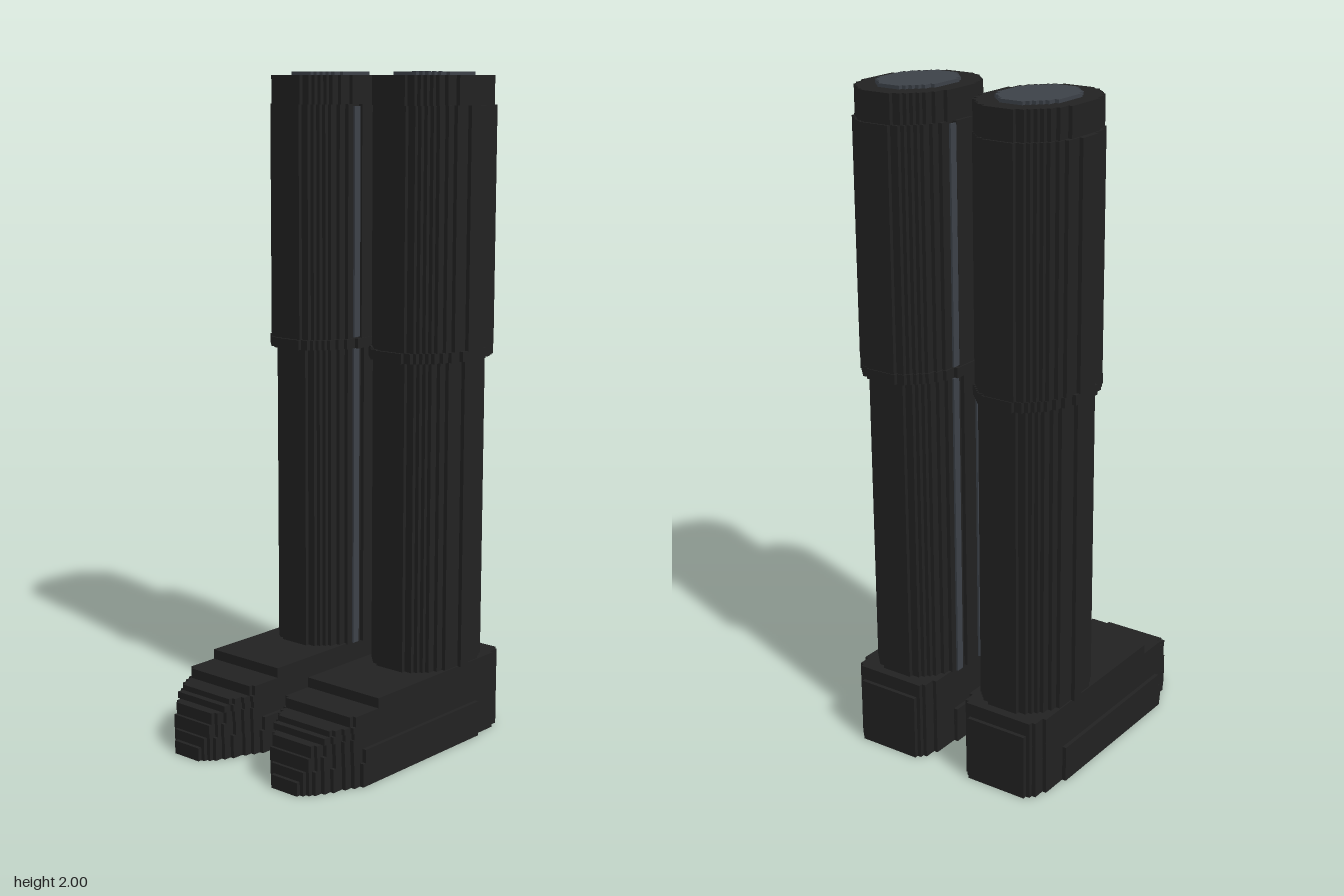
import * as THREE from 'three';

const STEP = 0.0123; // size of one block

// Linear interpolation through [z, halfWidth] pairs
function sample(profile, z) {
  for (let i = 1; i < profile.length; i++) {
    const [z0, w0] = profile[i - 1], [z1, w1] = profile[i];
    if (z <= z1) return w0 + (w1 - w0) * Math.max(0, (z - z0) / (z1 - z0));
  }
  return profile[profile.length - 1][1];
}

// Upright slab whose outline is stepped in blocks along z
function steppedSlab(halfWidth, z0, z1, y0, y1) {
  const rows = Math.round((z1 - z0) / STEP), dz = (z1 - z0) / rows;
  const right = [], left = [];
  let last = -1;
  for (let i = 0; i < rows; i++) {
    const w = Math.max(STEP, Math.round(halfWidth(z0 + (i + 0.5) * dz) / STEP) * STEP);
    if (w === last) { right.pop(); left.pop(); } else {
      right.push([w, z0 + i * dz]);
      left.push([-w, z0 + i * dz]);
    }
    right.push([w, z0 + (i + 1) * dz]);
    left.push([-w, z0 + (i + 1) * dz]);
    last = w;
  }
  const points = [...right, ...left.reverse()].map(([x, z]) => new THREE.Vector2(x, -z));
  const geometry = new THREE.ExtrudeGeometry(new THREE.Shape(points), { depth: y1 - y0, bevelEnabled: false });
  return geometry.rotateX(-Math.PI / 2).translate(0, y0, 0);
}

// Stepped oval column
function oval(rx, z0, z1, y0, y1) {
  const c = (z0 + z1) / 2, rz = (z1 - z0) / 2 + STEP * 0.3;
  return steppedSlab(z => rx * Math.sqrt(Math.max(0, 1 - ((z - c) / rz) ** 2)), z0, z1, y0, y1);
}

export function createModel() {
  const black = new THREE.MeshStandardMaterial({ color: 0x222222 });
  black.name = 'black leather';
  const grey = new THREE.MeshStandardMaterial({ color: 0x3d4249 });
  grey.name = 'slate lining';

  // Footprint half width from heel to toe
  const footprint = [[-0.43, 0.09], [-0.40, 0.12], [-0.36, 0.13], [-0.28, 0.142], [-0.15, 0.148],
    [0.24, 0.148], [0.30, 0.122], [0.36, 0.097], [0.40, 0.075], [0.43, 0.047]];
  // Foot layers: bottom, top, widest half width, heel z, toe z
  const layers = [
    [0, 0.04, 0.148, -0.43, 0.432], [0.04, 0.07, 0.148, -0.43, 0.42],
    [0.07, 0.11, 0.142, -0.43, 0.41], [0.11, 0.145, 0.138, -0.43, 0.40],
    [0.145, 0.165, 0.138, -0.43, 0.37], [0.165, 0.182, 0.138, -0.43, 0.35],
    [0.182, 0.2, 0.138, -0.43, 0.29], [0.2, 0.212, 0.138, -0.418, 0.29],
    [0.212, 0.242, 0.135, -0.418, 0.18],
  ];

  const model = new THREE.Group();
  model.name = 'boots';
  for (const side of [-1, 1]) {
    const boot = new THREE.Group();
    boot.name = side > 0 ? 'leftBoot' : 'rightBoot';
    const add = (name, geometry, material, x = 0.2) => {
      const mesh = new THREE.Mesh(geometry, material);
      mesh.name = name;
      mesh.position.x = side * x;
      boot.add(mesh);
    };

    // Foot
    layers.forEach(([y0, y1, w, back, front], i) =>
      add('footLayer' + (i + 1), steppedSlab(z => Math.min(w, sample(footprint, z)), back, front, y0, y1), black, 0.197));

    // Leg, cuff and its rims
    add('lowerShaft', oval(0.142, -0.39, -0.037, 0.24, 1.18), black, 0.193);
    add('cuffLowerRim', oval(0.16, -0.418, -0.013, 1.175, 1.205), black, 0.199);
    add('cuff', oval(0.157, -0.415, -0.022, 1.205, 1.905), black, 0.203);
    add('cuffUpperRim', oval(0.151, -0.408, -0.022, 1.905, 1.99), black, 0.199);

    // Lining at the opening
    add('liningTop', oval(0.1, -0.348, -0.086, 1.988, 2), grey, 0.2);

    // Narrow seams on the inner side
    for (const z of [-0.27, -0.16]) {
      add('lowerSeam', new THREE.BoxGeometry(0.006, 0.93, 0.025).translate(0, 0.71, z), grey, 0.0465);
      add('cuffSeam', new THREE.BoxGeometry(0.006, 0.69, 0.025).translate(0, 1.555, z), grey, 0.045);
    }
    model.add(boot);
  }
  return model;
}
